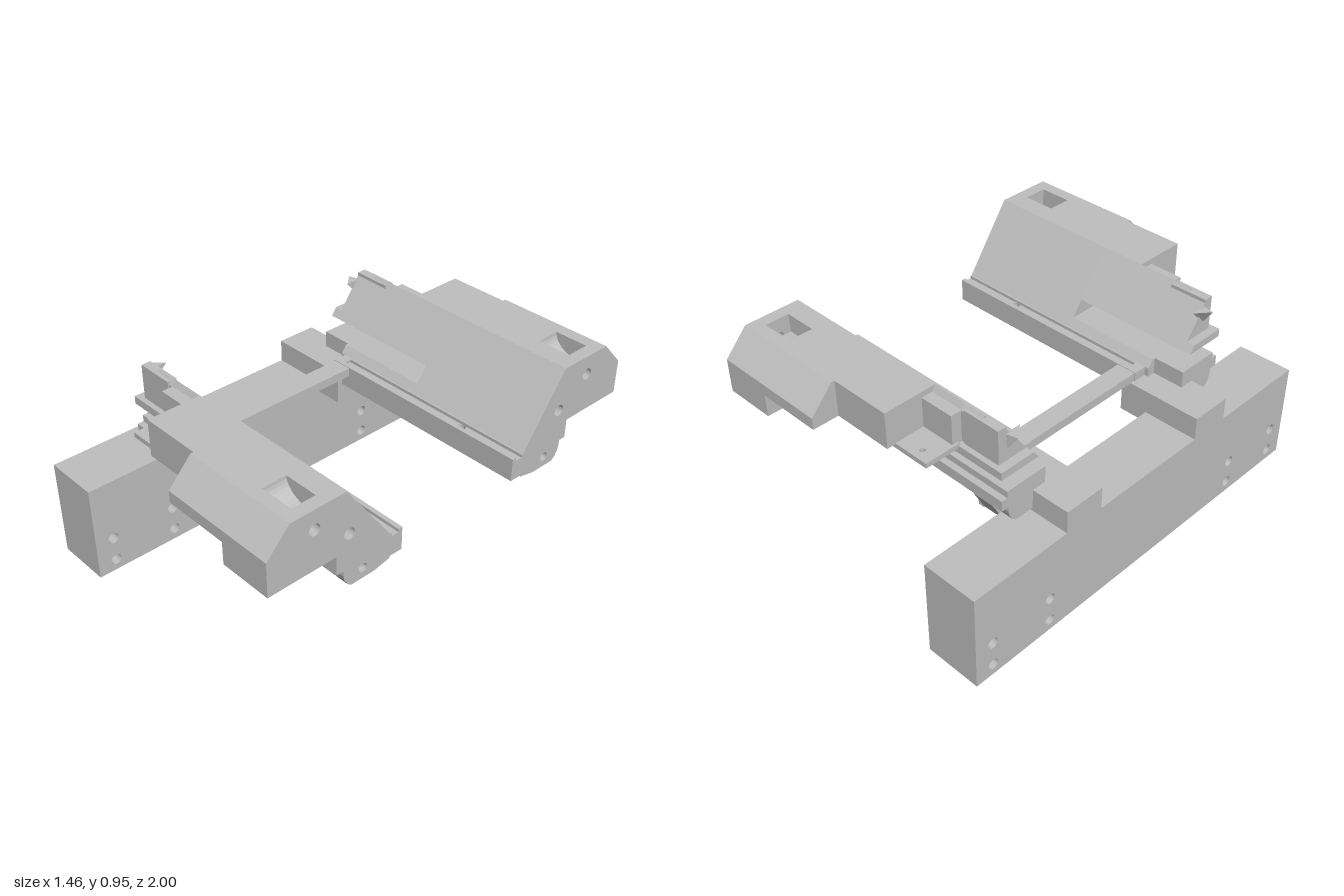
import * as THREE from 'three';

export function createModel() {
  const model = new THREE.Group();
  model.name = 'twinWingBracket';
  const grey = new THREE.MeshStandardMaterial({ color: 0xbfbfbf });
  grey.name = 'plain grey';

  // ---- helpers ----
  const makeShape = (points, holes = []) => {
    const shape = new THREE.Shape(points.map(([a, b]) => new THREE.Vector2(a, b)));
    for (const [a, b, r] of holes) {
      const path = new THREE.Path();
      path.absarc(a, b, r, 0, Math.PI * 2, true);
      shape.holes.push(path);
    }
    return shape;
  };
  const extrude = (points, depth, holes) =>
    new THREE.ExtrudeGeometry(makeShape(points, holes), { depth, bevelEnabled: false, curveSegments: 16 });
  // profile in (z, y), swept along x
  const alongX = (points, x0, x1, holes) =>
    extrude(points, x1 - x0, holes).rotateY(-Math.PI / 2).translate(x1, 0, 0);
  // profile in (x, z), swept along y
  const alongY = (points, y0, y1, holes) =>
    extrude(points, y1 - y0, holes).rotateX(Math.PI / 2).translate(0, y1, 0);
  // profile in (x, y), swept along z
  const alongZ = (points, z0, z1) => extrude(points, z1 - z0).translate(0, 0, z0);
  const rect = (a0, a1, b0, b1) => [[a0, b0], [a1, b0], [a1, b1], [a0, b1]];
  const block = (x0, x1, y0, y1, z0, z1) =>
    new THREE.BoxGeometry(x1 - x0, y1 - y0, z1 - z0)
      .translate((x0 + x1) / 2, (y0 + y1) / 2, (z0 + z1) / 2);
  const mirrorZ = (source) => {
    const g = source.index ? source.toNonIndexed() : source.clone();
    g.scale(1, 1, -1);
    for (const name of ['position', 'normal', 'uv']) {
      const attr = g.attributes[name], n = attr.itemSize, arr = attr.array;
      for (let i = 0; i < attr.count; i += 3) {
        for (let k = 0; k < n; k++) {
          const a = (i + 1) * n + k, b = (i + 2) * n + k;
          [arr[a], arr[b]] = [arr[b], arr[a]];
        }
      }
    }
    g.computeVertexNormals();
    return g;
  };
  const add = (parent, name, geometry) => {
    const mesh = new THREE.Mesh(geometry, grey);
    mesh.name = name;
    parent.add(mesh);
  };

  // ---- base beam with bolt holes, and the cross bar ----
  const bolts = [];
  for (const z of [-0.91, -0.59, 0.59, 0.91])
    for (const y of [0.055, 0.175]) bolts.push([z, y, 0.026]);
  add(model, 'baseBeam', alongX(rect(-1, 1, 0, 0.473), -0.73, -0.46, bolts));
  add(model, 'crossBar', block(-0.365, -0.27, 0.58, 0.622, -0.34, 0.34));

  // ---- one wing, built on the +z side ----
  const slopeZ = (y) => 0.39 + (y - 0.625) * 0.714; // inner sloping face
  const on = (y) => [slopeZ(y), y];
  const top = 0.947;
  const parts = [];
  const part = (name, geometry) => parts.push([name, geometry]);

  // mounting step on the base and the bracket beside it
  part('mountStep', block(-0.73, -0.46, 0.47, 0.582, 0.3, 0.5));
  part('mountBracket', alongX(
    [[0.3, 0.42], [0.575, 0.42], [0.635, 0.53], [0.635, 0.582], [0.3, 0.582]], -0.46, -0.35));
  part('bracketEnd', block(-0.35, -0.32, 0.42, 0.582, 0.3, 0.58));

  // lower keel with a rounded outer corner
  const keel = [[0.39, 0.507], [0.47, 0.49], [0.595, 0.49], [0.615, 0.507],
    [0.628, 0.53], [0.635, 0.555], [0.635, 0.58]];
  part('keelFront', alongX([...keel, [0.43, 0.58], [0.43, 0.5]].slice(1), -0.545, -0.37));
  part('keel', alongX([...keel, [0.39, 0.58]], -0.37, 0.665));
  part('keelEnd', alongX([...keel, [0.39, 0.58]], 0.665, 0.725, [[0.535, 0.54, 0.021]]));
  part('keelLatch', block(0.24, 0.29, 0.565, 0.59, 0.6, 0.645));

  // inner rail with its groove and drain hole
  part('innerRail', alongY(rect(-0.37, 0.725, 0.325, 0.39), 0.515, 0.61, [[0.4, 0.363, 0.02]]));
  part('railInnerLip', block(-0.37, 0.725, 0.61, 0.625, 0.325, 0.346));
  part('railOuterLip', block(-0.37, 0.725, 0.61, 0.625, 0.381, 0.39));
  part('railStop', block(-0.37, -0.32, 0.61, 0.625, 0.346, 0.381));

  // plate below the long slot
  part('lowerPlateFront', alongX([[0.43, 0.58], [0.67, 0.58], [0.67, 0.63], [0.64, 0.63],
    [0.64, 0.662], [0.43, 0.662]], -0.545, -0.39));
  part('lowerPlate', alongX([[0.39, 0.58], [0.67, 0.58], [0.67, 0.63], [0.64, 0.63],
    [0.64, 0.662], on(0.662), [0.39, 0.625]], -0.39, 0.08));

  // solid body behind the slot
  const foot = [[0.39, 0.58], [0.67, 0.58]];
  const ridge = [[0.62, top], on(0.625)];
  part('bodyShoulder', alongX(
    [...foot, [0.67, 0.775], [0.875, 0.775], [0.875, top], ...ridge], 0.08, 0.16));
  const chamfer = [[1, 0.83], [0.89, top]];
  part('bodyMiddle', alongX(
    [...foot, [0.67, 0.775], [1, 0.775], ...chamfer, ...ridge], 0.16, 0.475));
  const deep = [...foot, [0.67, 0.67], [1, 0.67], ...chamfer];
  part('bodyRear', alongX([...deep, ...ridge], 0.475, 0.505));
  part('bodyPocketSection', alongX(
    [...deep, [0.83, top], [0.83, 0.86], [0.715, 0.86], [0.715, top], ...ridge], 0.505, 0.665));
  part('bodyEnd', alongX([...deep, ...ridge], 0.665, 0.725,
    [[0.775, 0.855, 0.027], [0.605, 0.745, 0.027]]));
  part('sideBoss', block(0.12, 0.41, 0.64, 0.757, 0.66, 0.7));

  // curved ramp inside the top pocket
  const ramp = [[0.505, 0.86]];
  for (let i = 0; i <= 10; i++) {
    const t = (i / 10) * Math.PI / 2;
    ramp.push([0.63 - 0.125 * Math.sin(t), top - 0.087 * Math.cos(t)]);
  }
  part('pocketRamp', alongZ(ramp, 0.715, 0.83));

  // overhanging arm above the slot
  part('armRear', alongX([on(0.735), [0.67, 0.735], [0.67, 0.775], [0.875, 0.775],
    [0.875, top], [0.62, top]], -0.135, 0.08));
  part('armMiddle', alongX([on(0.735), [0.67, 0.735], [0.69, 0.78], [0.69, 0.92],
    [0.635, 0.92], [0.62, top]], -0.3, -0.135));
  part('armFront', alongX([on(0.735), [0.64, 0.735], [0.64, 0.92], [0.62, top]], -0.41, -0.3));
  part('armTip', alongX([on(0.735), [0.64, 0.735], [0.64, 0.935], on(0.935)], -0.505, -0.41));
  part('armLip', alongX([on(0.735), [0.67, 0.735], [0.67, 0.772], on(0.772)], -0.545, -0.3));
  part('armSidePad', block(-0.505, -0.32, 0.77, 0.935, 0.6, 0.645));

  // side tab with its pin hole
  part('sideTab', alongY(rect(-0.31, -0.06, 0.71, 0.835), 0.757, 0.78, [[-0.24, 0.79, 0.012]]));
  part('tabWeb', block(-0.31, -0.06, 0.757, 0.78, 0.66, 0.71));

  // pointed prong at the arm tip, a tetrahedron
  const prong = new THREE.BufferGeometry();
  const a = [-0.5, 0.9, 0.525], b = [-0.5, 0.9, 0.605], c = [-0.5, 0.82, 0.6], d = [-0.555, 0.9, 0.59];
  prong.setAttribute('position', new THREE.Float32BufferAttribute(
    [a, d, b, a, c, d, d, c, b, a, b, c].flat(), 3));
  prong.setAttribute('uv', new THREE.Float32BufferAttribute(new Array(24).fill(0), 2));
  prong.computeVertexNormals();
  part('tipProng', prong);

  // ---- both wings ----
  const front = new THREE.Group(), back = new THREE.Group();
  front.name = 'frontWing';
  back.name = 'backWing';
  for (const [name, geometry] of parts) {
    add(front, name, geometry);
    add(back, name, mirrorZ(geometry));
  }
  model.add(front, back);
  return model;
}
